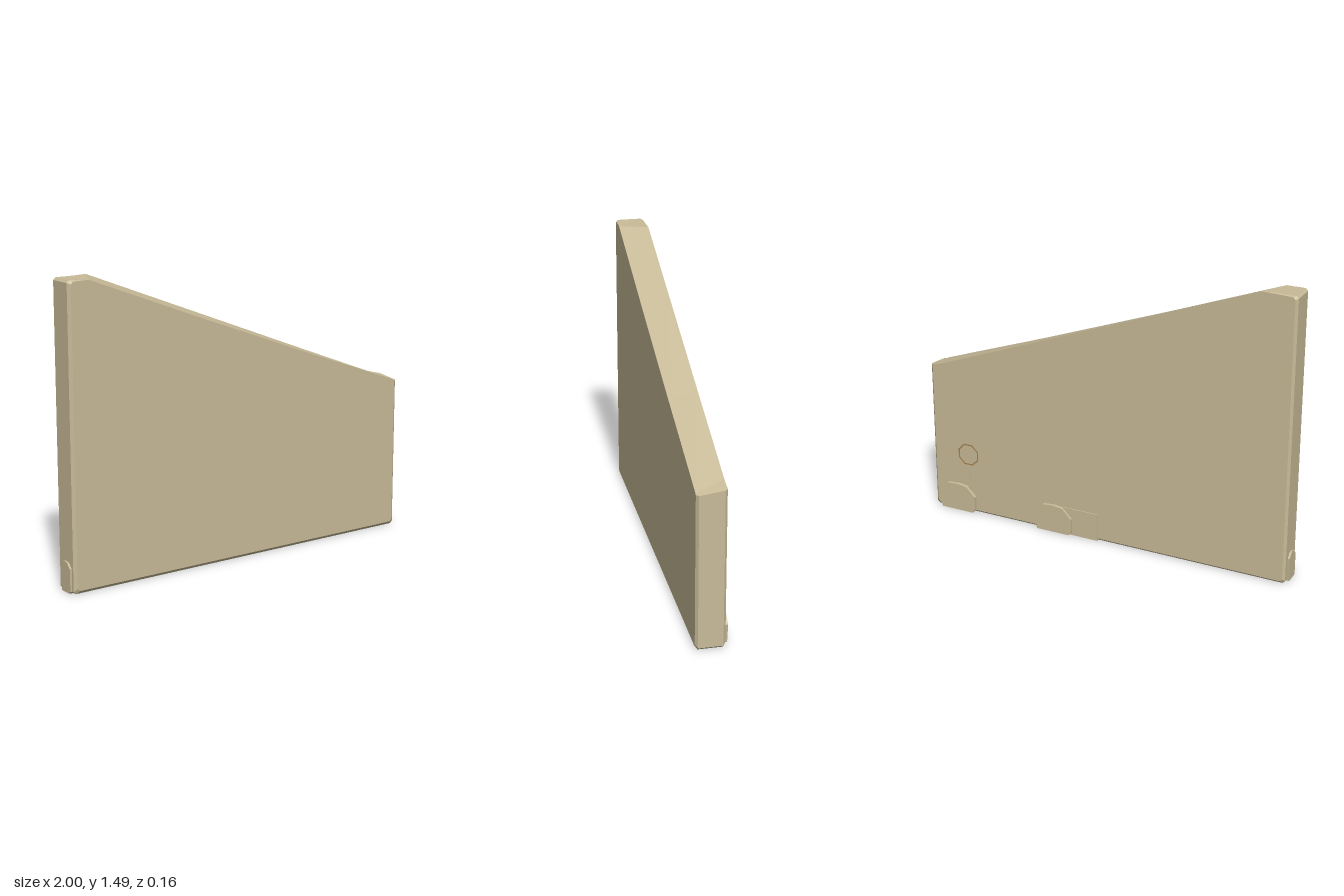
import * as THREE from 'three';

const stone = new THREE.MeshStandardMaterial({ color: 0xc8bb98, flatShading: true });
const bronze = new THREE.MeshStandardMaterial({ color: 0xa8824e, flatShading: true });
const lerp = THREE.MathUtils.lerp;
const FRONT = 0.08, BACK = -0.065;

// Wall outline at depth z, drawn in by d at the bevelled edges
function wallOutline(z, d) {
  const t = (FRONT - z) / (FRONT - BACK);
  const c = 0.012, L = -0.99 + d, R = 1 - d, top = 1.49 - d * 0.4;
  return [
    [L + c, d], [R - c, d], [R, d + c],
    [R, lerp(0.79, 0.808, t)],
    [lerp(0.975, 0.92, t), lerp(0.797, 0.826, t)],
    [lerp(0.4, 0.37, t), lerp(1.004, 1.036, t)],
    [lerp(-0.3, -0.22, t), lerp(1.264, 1.263, t)],
    [lerp(-0.88, -0.81, t), lerp(1.485, 1.49, t)],
    [L + c, top], [L, top - c], [L, d + c],
  ].map(([x, y]) => new THREE.Vector3(x, y, z));
}

// Skin a row of outlines, front to back, and cap both ends
function skin(rings) {
  const pos = [];
  const tri = (...v) => v.forEach(p => pos.push(p.x, p.y, p.z));
  for (let r = 0; r < rings.length - 1; r++) {
    const a = rings[r], b = rings[r + 1];
    a.forEach((p, i) => {
      const j = (i + 1) % a.length;
      tri(p, b[i], b[j]);
      tri(p, b[j], a[j]);
    });
  }
  const cap = (ring, flip) => {
    const flat = ring.map(p => new THREE.Vector2(p.x, p.y));
    for (const [a, b, c] of THREE.ShapeUtils.triangulateShape(flat, [])) {
      if (flip) tri(ring[a], ring[c], ring[b]);
      else tri(ring[a], ring[b], ring[c]);
    }
  };
  cap(rings[0], false);
  cap(rings[rings.length - 1], true);
  const g = new THREE.BufferGeometry();
  g.setAttribute('position', new THREE.Float32BufferAttribute(pos, 3));
  g.computeVertexNormals();
  return g;
}

// Thin stone with cut corners, standing on y = 0 and facing +z
function slabStone(w, h, depth, cut) {
  const x = w / 2;
  const s = new THREE.Shape([
    [-x + cut * 0.3, 0], [x - cut * 0.3, 0], [x, cut * 0.4], [x, h - cut * 1.2],
    [x - cut, h - cut * 0.15], [x - cut * 2, h], [-x + cut, h - cut * 0.1], [-x, h - cut],
  ].map(p => new THREE.Vector2(...p)));
  return new THREE.ExtrudeGeometry(s, { depth, bevelEnabled: false });
}

export function createModel() {
  const model = new THREE.Group();
  const add = (name, geo, mat, x, y, z, ry = 0) => {
    const m = new THREE.Mesh(geo, mat);
    m.name = name;
    m.position.set(x, y, z);
    m.rotation.y = ry;
    model.add(m);
    return m;
  };

  // Main wall with sloping top and bevelled edges
  const rings = [[FRONT, 0.015], [0.068, 0], [-0.053, 0], [BACK, 0.012]].map(r => wallOutline(...r));
  add('wall', skin(rings), stone, 0, 0, 0);

  // Small stones along the foot of the back
  for (const x of [0.86, 0.285]) {
    add('footStone', slabStone(0.215, 0.152, 0.03, 0.05), stone, x, 0, -0.052, Math.PI);
  }
  add('footPanel', new THREE.BoxGeometry(0.2, 0.15, 0.02), stone, 0.13, 0.075, -0.06);

  // Small stone on the tall end
  add('endStone', slabStone(0.085, 0.152, 0.02, 0.025), stone, -0.98, 0, 0.012, -Math.PI / 2);

  // Eight-sided ring on a thin stem, set on the back
  const ring = add('ring', new THREE.RingGeometry(0.056, 0.064, 8), bronze, 0.79, 0.33, -0.0665, Math.PI);
  ring.geometry.rotateZ(Math.PI / 8);
  add('stem', new THREE.BoxGeometry(0.012, 0.16, 0.004), stone, 0.79, 0.19, -0.065);

  return model;
}
